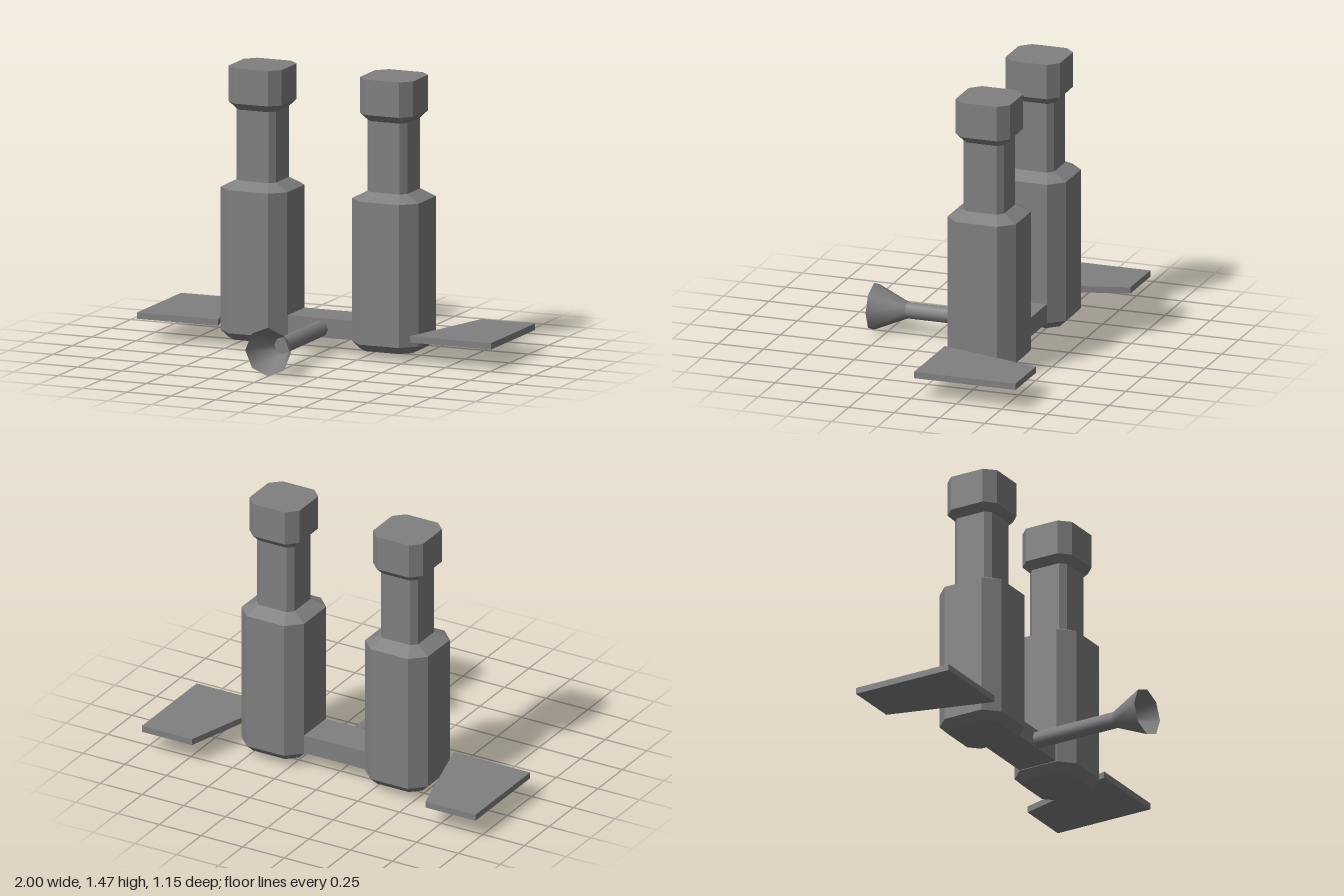
import * as THREE from 'three';

const grey = new THREE.MeshStandardMaterial({ color: 0x808080, side: THREE.DoubleSide });
grey.name = 'grey';

function part(name, geometry, parent) {
  const mesh = new THREE.Mesh(geometry, grey);
  mesh.name = name;
  parent.add(mesh);
  return mesh;
}

// Chamfered-square ring: h is the half width, f the half length of each flat
const ring = ([y, h, f]) =>
  [[h, f], [h, -f], [f, -h], [-f, -h], [-h, -f], [-h, f], [-f, h], [f, h]].map(([x, z]) => [x, y, z]);

// Faceted closed solid through stacked rings
function stackGeometry(levels) {
  const rings = levels.map(ring);
  const last = rings.length - 1;
  const pos = [];
  const tri = (a, b, c) => pos.push(...a, ...b, ...c);
  for (let k = 0; k < last; k++) {
    for (let i = 0; i < 8; i++) {
      const j = (i + 1) % 8, lo = rings[k], hi = rings[k + 1];
      tri(lo[i], lo[j], hi[j]);
      tri(lo[i], hi[j], hi[i]);
    }
  }
  for (let i = 1; i < 7; i++) {
    tri(rings[last][0], rings[last][i], rings[last][i + 1]);
    tri(rings[0][0], rings[0][i + 1], rings[0][i]);
  }
  const g = new THREE.BufferGeometry();
  g.setAttribute('position', new THREE.Float32BufferAttribute(pos, 3));
  g.computeVertexNormals();
  return g;
}

// Eight-sided smooth surface of revolution along z
function turned(points) {
  return new THREE.LatheGeometry(points.map(([r, z]) => new THREE.Vector2(r, z)), 8).rotateX(Math.PI / 2);
}

export function createModel() {
  const model = new THREE.Group();
  model.name = 'model';

  // Twin towers: wide base, narrow neck, wider cap
  const tower = stackGeometry([
    [0.042, 0.148, 0.095], [0.082, 0.188, 0.112], [0.836, 0.188, 0.112],
    [0.876, 0.112, 0.082], [1.25, 0.112, 0.082], [1.288, 0.15, 0.096], [1.475, 0.15, 0.096],
  ]);

  for (const side of [1, -1]) {
    const label = side > 0 ? 'left' : 'right';
    part(label + 'Tower', tower, model).position.set(0.371 * side, 0, -0.198);

    // Flat swept fin
    const outline = new THREE.Shape([[1, 0.577], [0.7, 0.577], [0.542, 0.016], [1, 0.016]]
      .map(([x, y]) => new THREE.Vector2(x * side, y)));
    const fin = new THREE.ExtrudeGeometry(outline, { depth: 0.034, bevelEnabled: false }).rotateX(-Math.PI / 2);
    part(label + 'Fin', fin, model).position.y = 0.115;
  }

  // Bar joining the towers
  part('crossbar', new THREE.BoxGeometry(0.4, 0.102, 0.22), model).position.set(0, 0.136, -0.2);

  // Forward pipe with an open flared horn
  const horn = new THREE.Group();
  horn.name = 'horn';
  horn.position.y = 0.13;
  model.add(horn);
  part('pipe', turned([[0.045, -0.1], [0.045, 0.39]]), horn);
  part('flare', turned([[0.045, 0.39], [0.128, 0.576]]), horn);
  part('pipeEnd', new THREE.CircleGeometry(0.045, 8), horn).position.z = 0.39;

  return model;
}
